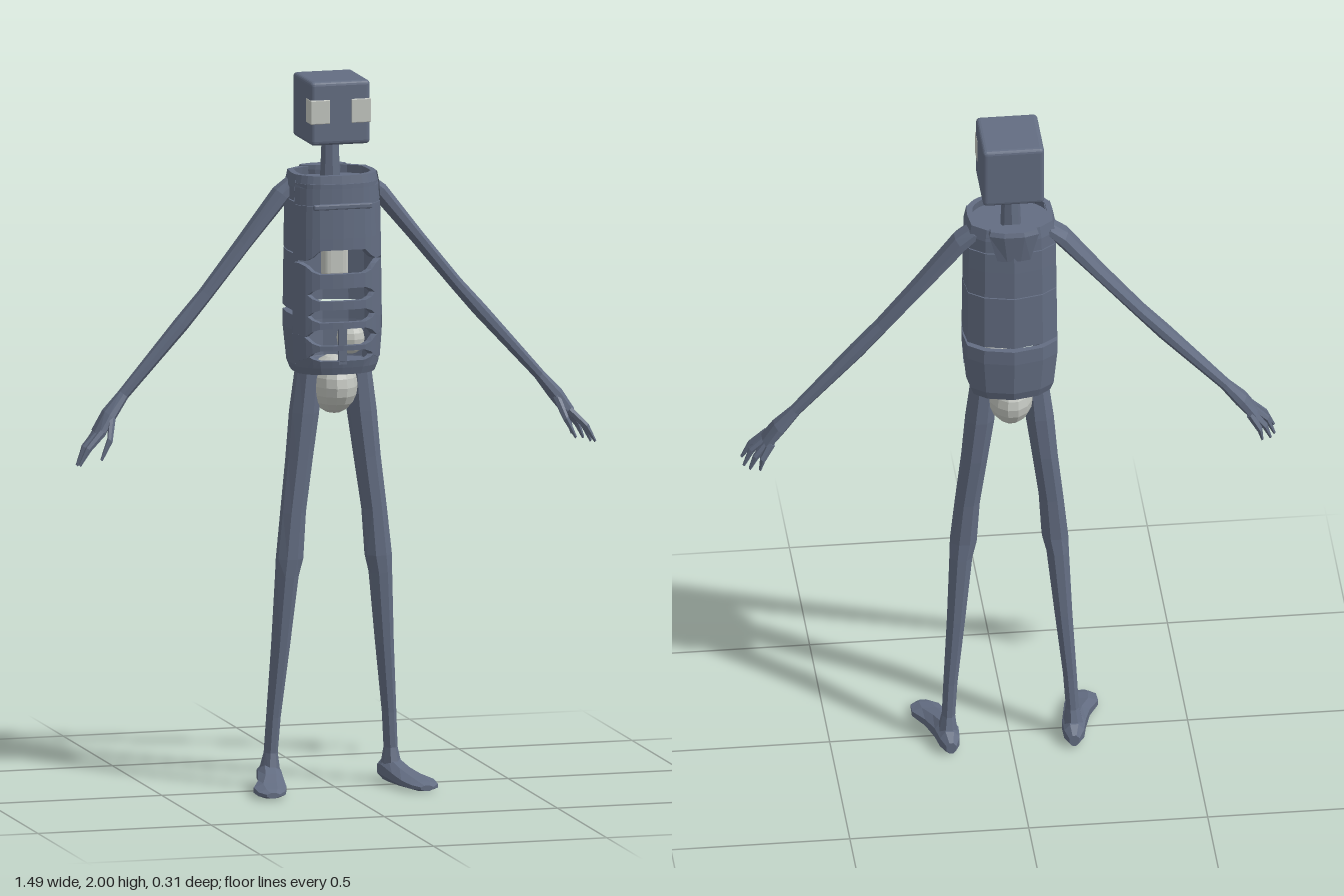
import * as THREE from 'three';
import { RoundedBoxGeometry } from 'three/addons/geometries/RoundedBoxGeometry.js';

const mat = (name, color, extra = {}) => {
  const m = new THREE.MeshStandardMaterial({ color, flatShading: true, ...extra });
  m.name = name;
  return m;
};

const { lerp, smoothstep } = THREE.MathUtils;

function build(positions, indices) {
  const g = new THREE.BufferGeometry();
  g.setAttribute('position', new THREE.Float32BufferAttribute(positions, 3));
  g.setIndex(indices);
  g.computeVertexNormals();
  return g;
}

// Closed limb through sections [x, y, z, a, b]; a and b are radii along U and V
function loft(sections, U, V, s = 1, sides = 8) {
  const pos = [], idx = [];
  const u = new THREE.Vector3(U[0] * s, U[1], U[2]), v = new THREE.Vector3(...V);
  for (const [x, y, z, a, b] of sections) {
    for (let i = 0; i < sides; i++) {
      const t = ((i + 0.5) / sides) * Math.PI * 2;
      const c = Math.cos(t) * a, d = Math.sin(t) * b;
      pos.push(x * s + u.x * c + v.x * d, y + u.y * c + v.y * d, z + u.z * c + v.z * d);
    }
  }
  const p = sections[0], q = sections[sections.length - 1];
  const dir = new THREE.Vector3((q[0] - p[0]) * s, q[1] - p[1], q[2] - p[2]);
  const flip = u.clone().cross(v).dot(dir) < 0;
  const tri = (a, b, c) => (flip ? idx.push(a, c, b) : idx.push(a, b, c));
  const last = (sections.length - 1) * sides;
  for (let r = 0; r < last; r += sides) {
    for (let i = 0; i < sides; i++) {
      const j = (i + 1) % sides;
      tri(r + i, r + j, r + sides + j);
      tri(r + i, r + sides + j, r + sides + i);
    }
  }
  for (let i = 1; i < sides - 1; i++) {
    tri(0, i + 1, i);
    tri(last, last + i, last + i + 1);
  }
  return build(pos, idx);
}

// Torso taper by height
const taper = [[1.17, 0.86], [1.21, 0.98], [1.3, 1.03], [1.6, 1], [1.7, 0.98], [1.74, 0.92]];
function scaleAt(y) {
  for (let i = 1; i < taper.length; i++) {
    const [y0, s0] = taper[i - 1], [y1, s1] = taper[i];
    if (y <= y1) return lerp(s0, s1, Math.max(0, (y - y0) / (y1 - y0)));
  }
  return 0.92;
}

// Thick wall following a plan path [x, z]; each row gives its height at x
function wall(path, rows, thick = 0.018) {
  const pos = [], idx = [], n = path.length, R = rows.length, midZ = -0.03;
  for (const inner of [0, 1]) {
    for (const row of rows) {
      for (const [x, z] of path) {
        const y = row(x);
        const s = scaleAt(y), r = Math.hypot(x, z - midZ);
        const k = s * (inner ? 1 - thick / r : 1);
        pos.push(x * k, y, midZ + (z - midZ) * k);
      }
    }
  }
  const o = (r, i) => r * n + i, inn = (r, i) => (R + r) * n + i;
  const quad = (a, b, c, d) => idx.push(a, b, c, a, c, d);
  for (let i = 0; i < n - 1; i++) {
    for (let r = 0; r < R - 1; r++) {
      quad(o(r, i), o(r, i + 1), o(r + 1, i + 1), o(r + 1, i));
      quad(inn(r, i + 1), inn(r, i), inn(r + 1, i), inn(r + 1, i + 1));
    }
    quad(o(R - 1, i), o(R - 1, i + 1), inn(R - 1, i + 1), inn(R - 1, i));
    quad(o(0, i + 1), o(0, i), inn(0, i), inn(0, i + 1));
  }
  return build(pos, idx);
}

const mirrorPath = half => [...half, ...half.slice(0, -1).reverse().map(([x, z]) => [-x, z])];
const frontPath = mirrorPath([[-0.126, 0.02], [-0.115, 0.04], [-0.1, 0.058], [-0.085, 0.069],
  [-0.065, 0.078], [-0.03, 0.083], [0, 0.085]]);
const backPath = mirrorPath([[0.126, 0.02], [0.129, -0.03], [0.122, -0.09], [0.08, -0.122], [0, -0.14]]);
const flat = ys => ys.map(y => () => y);

export function createModel() {
  const root = new THREE.Group();
  const skin = mat('slate skin', 0x636d82);
  const shellSkin = mat('slate shell', 0x636d82, { side: THREE.DoubleSide });
  const pale = mat('pale bone', 0xc3c6c0);
  const add = (name, geometry, material = skin, p = [0, 0, 0]) => {
    const m = new THREE.Mesh(geometry, material);
    m.name = name;
    m.position.set(...p);
    root.add(m);
    return m;
  };

  // Head and neck
  add('head', new RoundedBoxGeometry(0.172, 0.18, 0.19, 2, 0.012), skin, [0, 1.91, -0.035]);
  add('neck', new THREE.CylinderGeometry(0.024, 0.03, 0.14, 8), skin, [0, 1.76, -0.05]);
  // Eyes wrap the front corners of the head
  for (const s of [1, -1]) {
    add('eyeFront', new RoundedBoxGeometry(0.056, 0.068, 0.008, 2, 0.003), pale, [s * 0.0585, 1.915, 0.058]);
    add('eyeSide', new RoundedBoxGeometry(0.008, 0.068, 0.053, 2, 0.003), pale, [s * 0.0835, 1.915, 0.0355]);
  }

  // Back and side plates with narrow gaps
  [[1.175, 1.2, 1.3, 1.342], [1.355, 1.515], [1.518, 1.6, 1.66], [1.663, 1.7, 1.735]]
    .forEach(ys => add('backPlate', wall(backPath, flat(ys)), shellSkin));
  // Raised ridge at the nape
  add('napeRidge', loft([[0, 1.64, -0.128, 0.05, 0.01], [0, 1.725, -0.125, 0.075, 0.026],
    [0, 1.738, -0.122, 0.07, 0.024]], [1, 0, 0], [0, 0, 1]));

  // Chest plate and collar
  add('chestPlate', wall(frontPath, [x => 1.528 - 0.03 * smoothstep(Math.abs(x), 0.06, 0.1),
    () => 1.56, () => 1.652]), shellSkin);
  add('collar', wall(frontPath.map(([x, z]) => [x * 0.98, z * 0.9]), flat([1.65, 1.7, 1.735])), shellSkin);
  add('chestRidge', new RoundedBoxGeometry(0.17, 0.016, 0.012, 1, 0.004), skin, [0, 1.65, 0.08]);

  // Ribs flare at the sides, leaving rounded openings between them
  const ribs = [[1.44, 0.02], [1.372, 0.012], [1.315, 0.009], [1.251, 0.007]];
  for (const [y, h] of ribs) {
    const half = x => h + 0.03 * smoothstep(Math.abs(x), 0.07, 0.115);
    add('rib', wall(frontPath, [x => y - half(x), x => y + half(x)]), shellSkin);
  }
  add('bottomRib', wall(frontPath, [() => 1.175, () => 1.195,
    x => 1.215 + 0.02 * smoothstep(Math.abs(x), 0.07, 0.11)]), shellSkin);
  add('breastbone', new THREE.BoxGeometry(0.022, 0.11, 0.014), skin, [0, 1.26, 0.075]);

  // Top and bottom closures
  for (const [name, y, k] of [['shoulderDeck', 1.7, 0.95], ['torsoFloor', 1.185, 0.86]]) {
    const outline = [...frontPath, ...backPath.slice(1, -1)];
    const shape = new THREE.Shape(outline.map(([x, z]) => new THREE.Vector2(x * k, -(z * k - 0.003))));
    const g = new THREE.ExtrudeGeometry(shape, { depth: 0.012, bevelEnabled: false });
    g.rotateX(-Math.PI / 2);
    add(name, g, skin, [0, y, 0]);
  }

  // Pale core and pelvis
  add('upperCore', new RoundedBoxGeometry(0.075, 0.13, 0.05, 2, 0.02), pale, [-0.003, 1.5, 0.005]);
  const organ = add('lowerCore', new THREE.SphereGeometry(1, 12, 8), pale, [0.045, 1.265, 0]);
  organ.scale.set(0.04, 0.045, 0.04);
  const pelvis = add('pelvis', new THREE.SphereGeometry(1, 14, 10), pale, [0, 1.135, -0.022]);
  pelvis.scale.set(0.066, 0.082, 0.1);

  const X = [1, 0, 0], Y = [0, 1, 0], Z = [0, 0, 1], across = [0.77, 0.64, 0];
  for (const s of [1, -1]) {
    // Leg
    add('leg', loft([[0.07, 1.2, -0.02, 0.036, 0.042], [0.083, 1.06, -0.022, 0.042, 0.045],
      [0.098, 0.93, -0.02, 0.038, 0.042], [0.117, 0.78, -0.014, 0.036, 0.036],
      [0.128, 0.65, -0.011, 0.039, 0.034], [0.135, 0.6, -0.014, 0.033, 0.034],
      [0.15, 0.4, -0.026, 0.026, 0.03], [0.167, 0.2, -0.038, 0.02, 0.024],
      [0.173, 0.1, -0.044, 0.019, 0.026], [0.176, 0.04, -0.048, 0.03, 0.045]], X, Z, s));
    // Foot, turned slightly outward
    add('foot', loft([[0.172, 0.025, -0.108, 0.015, 0.018], [0.174, 0.033, -0.085, 0.03, 0.034],
      [0.178, 0.036, -0.04, 0.036, 0.037], [0.193, 0.026, 0.03, 0.04, 0.027],
      [0.213, 0.019, 0.09, 0.051, 0.019], [0.22, 0.015, 0.135, 0.042, 0.014],
      [0.222, 0.013, 0.157, 0.02, 0.008]], X, Y, s));
    // Arm and palm
    add('arm', loft([[0.1, 1.705, -0.06, 0.02, 0.045], [0.14, 1.67, -0.058, 0.025, 0.046],
      [0.25, 1.535, -0.055, 0.02, 0.042], [0.36, 1.4, -0.048, 0.019, 0.033],
      [0.43, 1.32, -0.045, 0.021, 0.031], [0.6, 1.13, -0.038, 0.016, 0.021],
      [0.645, 1.075, -0.03, 0.021, 0.036], [0.68, 1.025, -0.022, 0.017, 0.043]], across, Z, s));
    // Fingers and thumb: knuckle, middle joint, tip
    const fingers = [
      [[0.672, 1.035, 0.008], [0.718, 0.99, 0.022], [0.744, 0.945, 0.026]],
      [[0.674, 1.033, -0.014], [0.72, 0.99, -0.012], [0.742, 0.94, -0.012]],
      [[0.672, 1.033, -0.036], [0.712, 0.985, -0.042], [0.728, 0.945, -0.04]],
      [[0.668, 1.035, -0.054], [0.695, 0.99, -0.066], [0.702, 0.955, -0.064]],
      [[0.64, 1.075, -0.01], [0.658, 1.015, 0.03], [0.685, 0.96, 0.038]],
    ];
    for (const joints of fingers) {
      const radii = [0.012, 0.0095, 0.004];
      add('finger', loft(joints.map((p, i) => [...p, radii[i], radii[i]]), across, Z, s, 6));
    }
  }
  return root;
}
